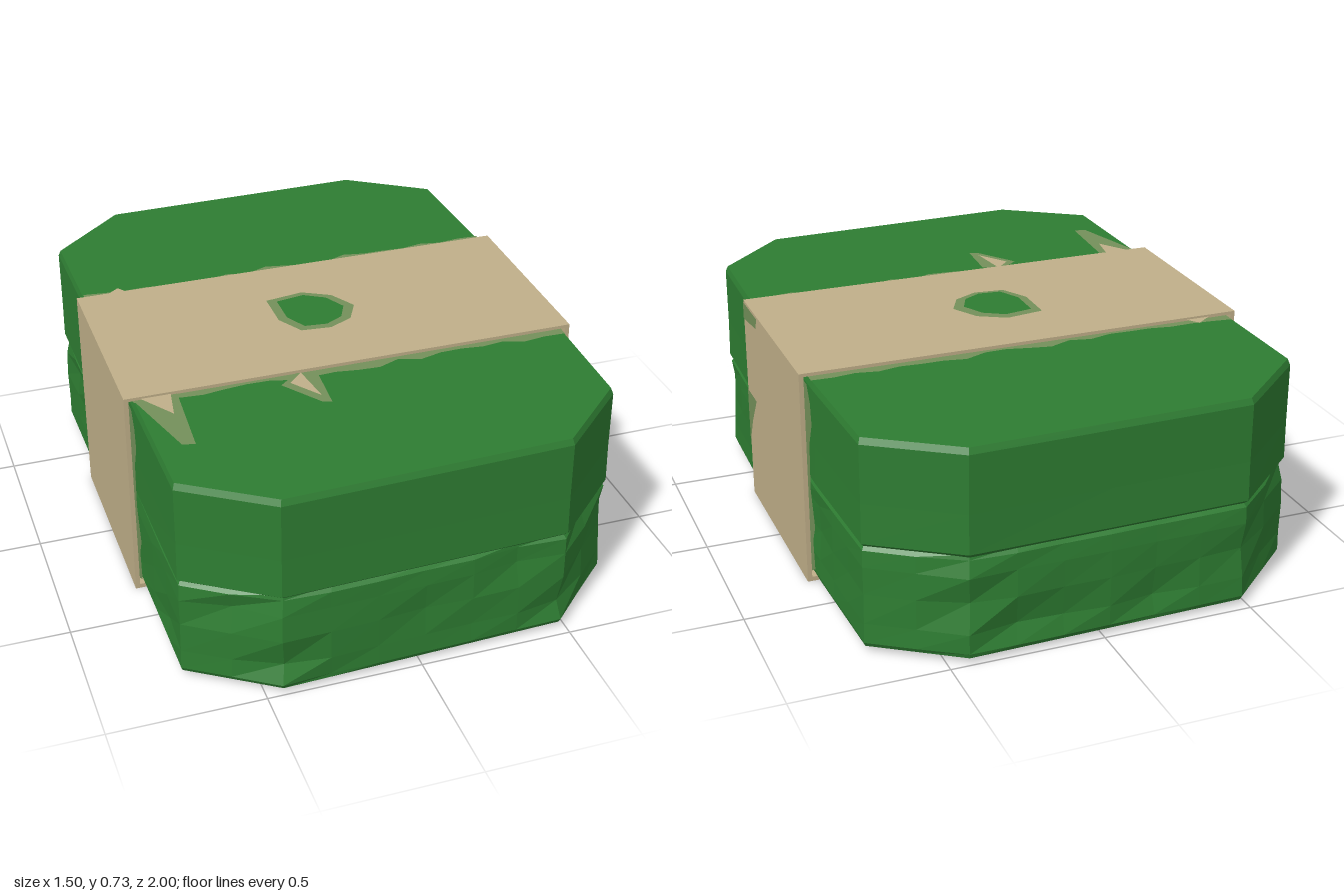
import * as THREE from 'three';

const green = new THREE.MeshStandardMaterial({ color: 0x2e7d32 });
green.name = 'leaf green';
const tan = new THREE.MeshStandardMaterial({ color: 0xc0af89 });
tan.name = 'paper tan';
const olive = new THREE.MeshStandardMaterial({ color: 0x74905a });
olive.name = 'faded olive';

// Outline of the bundle seen from above, as x, z
const OUTLINE = [[-0.735, -0.75], [-0.48, -0.98], [0.44, -1], [0.71, -0.82], [0.725, -0.4],
  [0.73, 0.3], [0.72, 0.74], [0.48, 0.97], [-0.45, 1], [-0.72, 0.82]];

function seeded(seed) {
  return () => {
    seed = (seed * 16807) % 2147483647;
    return seed / 2147483647;
  };
}

// Outline with extra points along each edge
function perimeter(step) {
  const pts = [];
  OUTLINE.forEach(([x, z], i) => {
    const [nx, nz] = OUTLINE[(i + 1) % OUTLINE.length];
    const n = Math.max(1, Math.round(Math.hypot(nx - x, nz - z) / step));
    for (let k = 0; k < n; k++) pts.push([x + (nx - x) * k / n, z + (nz - z) * k / n]);
  });
  return pts;
}

// Closed block from stacked rings of [height, inset, crumple]
function ringBlock(rings, step, seed) {
  const base = perimeter(step), n = base.length, random = seeded(seed);
  const pos = [], index = [];
  for (const [y, inset, crumple] of rings) {
    for (const [x, z] of base) {
      const dent = random() > 0.75 ? random() * crumple : random() * crumple * 0.2;
      const s = 1 - inset - dent;
      pos.push(x * s, y, z * s);
    }
  }
  for (let r = 0; r < rings.length - 1; r++) {
    for (let i = 0; i < n; i++) {
      const j = (i + 1) % n;
      const a = r * n + i, b = r * n + j, c = a + n, d = b + n;
      index.push(a, c, b, b, c, d);
    }
  }
  const top = (rings.length - 1) * n;
  const bottomMid = pos.length / 3, topMid = bottomMid + 1;
  pos.push(0, rings[0][0], 0, 0, rings[rings.length - 1][0], 0);
  for (let i = 0; i < n; i++) {
    const j = (i + 1) % n;
    index.push(bottomMid, i, j, topMid, top + j, top + i);
  }
  const g = new THREE.BufferGeometry();
  g.setAttribute('position', new THREE.Float32BufferAttribute(pos, 3));
  g.setIndex(index);
  const faceted = g.toNonIndexed();
  faceted.computeVertexNormals();
  return faceted;
}

function createModel() {
  const model = new THREE.Group();
  const add = (name, geometry, material) => {
    const mesh = new THREE.Mesh(geometry, material);
    mesh.name = name;
    model.add(mesh);
    return mesh;
  };
  const flat = pts => new THREE.ShapeGeometry(new THREE.Shape(pts.map(p => new THREE.Vector2(...p))));
  // Thin painted faces: on a top (x, z), on a bottom (x, z), or on a side (z, y)
  const topPatch = (name, pts, y, mat) =>
    add(name, flat(pts.map(([x, z]) => [x, -z])).rotateX(-Math.PI / 2).translate(0, y, 0), mat);
  const bottomPatch = (name, pts, y, mat) =>
    add(name, flat(pts).rotateX(Math.PI / 2).translate(0, y, 0), mat);
  const sidePatch = (name, pts, side, x, mat) =>
    add(name, flat(pts.map(([z, y]) => [-z * side, y])).rotateY(side * Math.PI / 2).translate(side * x, 0, 0), mat);

  // Two stacked halves with a shallow seam between them
  add('lowerStack', ringBlock([[0.02, 0.008, 0], [0.035, 0, 0.008], [0.1, 0, 0.025], [0.2, 0, 0.025],
    [0.29, 0, 0.025], [0.345, 0.004, 0.02], [0.362, 0.02, 0]], 0.16, 41), green);
  add('upperStack', ringBlock([[0.352, 0.02, 0], [0.37, 0, 0.004], [0.5, 0.003, 0],
    [0.69, 0.003, 0], [0.71, 0.012, 0]], 0.4, 7), green);

  // Paper band around the middle, a hollow sleeve
  const sleeve = new THREE.Shape([[-0.75, 0], [0.75, 0], [0.75, 0.725], [-0.75, 0.725]]
    .map(p => new THREE.Vector2(...p)));
  sleeve.holes.push(new THREE.Path([[-0.735, 0.015], [-0.735, 0.714], [0.735, 0.714], [0.735, 0.015]]
    .map(p => new THREE.Vector2(...p))));
  add('paperBand', new THREE.ExtrudeGeometry(sleeve, { depth: 0.69, bevelEnabled: false })
    .translate(0, 0, -0.345), tan);

  // Green spot with a faded rim on top of the band
  const rim = [[-0.15, -0.12], [-0.02, -0.14], [0.07, -0.09], [0.12, 0], [0.08, 0.08],
    [0, 0.12], [-0.1, 0.11], [-0.15, 0.02]];
  topPatch('spotRim', rim, 0.728, olive);
  topPatch('spot', rim.map(([x, z]) => [(x + 0.03) * 0.75 - 0.03, z * 0.82]), 0.731, green);

  // Ragged faded margins beside the band
  const random = seeded(23);
  for (const s of [1, -1]) {
    const edge = [[-0.72, s * 0.33]];
    for (let i = 0; i <= 20; i++) edge.push([-0.72 + i * 0.072, s * (0.355 + random() * 0.035)]);
    edge.push([0.72, s * 0.33]);
    topPatch('topMargin', edge, 0.713, olive);
    bottomPatch('bottomMargin', edge, 0.017, olive);
    for (const side of [1, -1]) {
      sidePatch('sideMargin', [[s * 0.33, 0.03], [s * 0.38, 0.06], [s * 0.37, 0.16], [s * 0.4, 0.22],
        [s * 0.365, 0.34], [s * 0.375, 0.5], [s * 0.41, 0.58], [s * 0.4, 0.65], [s * 0.37, 0.7],
        [s * 0.33, 0.7]], side, 0.733, olive);
    }
  }

  // Torn paper points reaching out over the front half, and one at the back
  topPatch('tornPointRim', [[-0.72, 0.34], [-0.58, 0.34], [-0.6, 0.64], [-0.64, 0.63]], 0.715, olive);
  topPatch('tornPoint', [[-0.7, 0.34], [-0.6, 0.34], [-0.62, 0.46]], 0.718, tan);
  topPatch('tornPointRim', [[-0.26, 0.4], [-0.19, 0.34], [-0.13, 0.38], [-0.14, 0.54], [-0.17, 0.53]], 0.715, olive);
  topPatch('tornPoint', [[-0.23, 0.4], [-0.18, 0.35], [-0.16, 0.5]], 0.718, tan);
  topPatch('tornPoint', [[-0.66, -0.34], [-0.6, -0.385], [-0.57, -0.34]], 0.718, tan);

  // Faded streaks on the left side of the band
  sidePatch('bandStreak', [[0.34, 0.2], [0.34, 0.4], [0.22, 0.4], [0.29, 0.3]], 1, 0.753, olive);
  sidePatch('bandStreak', [[0.34, 0.66], [0.34, 0.72], [0.16, 0.72], [0.18, 0.68]], 1, 0.753, olive);
  return model;
}

export { createModel };
